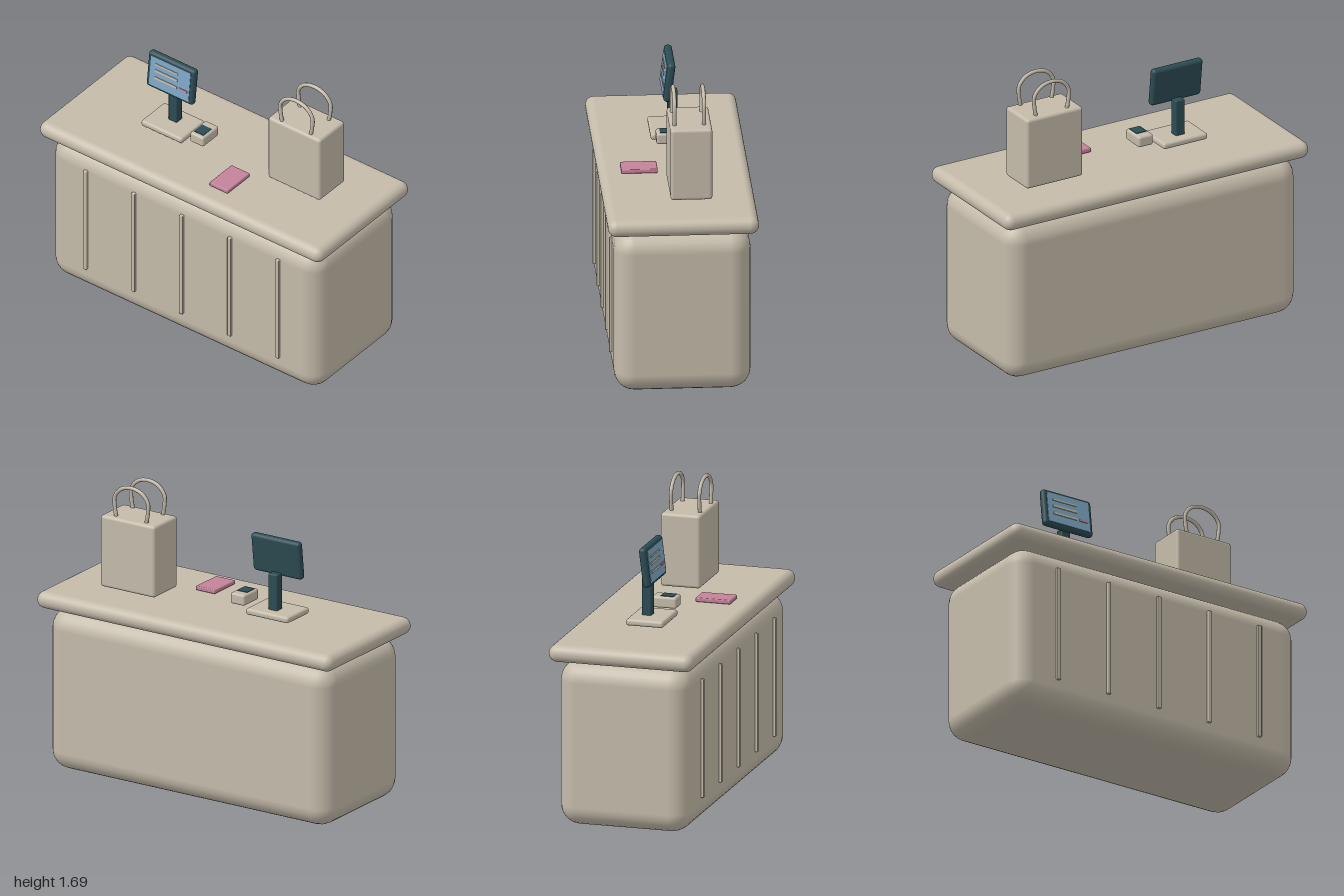
import * as THREE from 'three';
import { RoundedBoxGeometry } from 'three/addons/geometries/RoundedBoxGeometry.js';

const material = (name, color) => {
  const m = new THREE.MeshStandardMaterial({ color });
  m.name = name;
  return m;
};

export function createModel() {
  const stone = material('warm stone', 0xc4bbaa);
  const teal = material('dark teal', 0x2c4c54);
  const blue = material('screen blue', 0x7ca6c4);
  const pink = material('dusty pink', 0xc4829a);

  const model = new THREE.Group();
  model.name = 'shopCounter';

  // Adds a box (rounded when r > 0) of the given size, centred at pos
  const box = (parent, name, mat, size, pos, r = 0, segments = 3) => {
    const geometry = r > 0
      ? new RoundedBoxGeometry(...size, segments, r)
      : new THREE.BoxGeometry(...size);
    const mesh = new THREE.Mesh(geometry, mat);
    mesh.name = name;
    mesh.position.set(...pos);
    parent.add(mesh);
    return mesh;
  };
  const group = (name, x, y, z) => {
    const g = new THREE.Group();
    g.name = name;
    g.position.set(x, y, z);
    model.add(g);
    return g;
  };

  // Counter: soft body, overhanging top and five front ribs
  box(model, 'counterBody', stone, [1.91, 0.955, 0.77], [0, 0.4825, 0], 0.115);
  box(model, 'counterTop', stone, [2, 0.1, 0.85], [0, 1.015, 0], 0.0495, 4);
  for (let i = -2; i <= 2; i++) {
    box(model, 'frontRib', stone, [0.024, 0.69, 0.03], [i * 0.34, 0.51, 0.386], 0.005, 2);
  }

  // Till: foot plate, stem and a display leaning back
  const till = group('till', -0.365, 0, 0);
  box(till, 'tillBase', stone, [0.29, 0.038, 0.22], [0, 1.098, -0.005], 0.015);
  box(till, 'tillStem', teal, [0.06, 0.22, 0.055], [0, 1.22, -0.027], 0.008, 2);
  const display = new THREE.Group();
  display.name = 'display';
  display.position.set(0, 1.425, 0);
  display.rotation.x = -0.12;
  till.add(display);
  box(display, 'displayCase', teal, [0.33, 0.23, 0.045], [0, 0, 0], 0.02);
  box(display, 'displayScreen', blue, [0.28, 0.188, 0.006], [0, 0, 0.022]);
  for (const [y, h] of [[0.052, 0.01], [0.011, 0.014], [-0.036, 0.014]]) {
    box(display, 'screenLine', stone, [0.16, h, 0.006], [-0.025, y, 0.026]);
  }
  box(display, 'screenButton', pink, [0.055, 0.014, 0.006], [0.098, -0.036, 0.026]);

  // Card reader with a small dark screen
  const reader = group('cardReader', -0.133, 1.137, 0.008);
  box(reader, 'readerBody', stone, [0.097, 0.066, 0.147], [0, 0, 0], 0.014);
  box(reader, 'readerScreen', teal, [0.066, 0.006, 0.075], [0, 0.033, 0.014]);

  // Notebook
  box(model, 'notebook', pink, [0.13, 0.025, 0.205], [0.193, 1.081, 0.2], 0.006, 2);

  // Shopping bag with two arched handles
  const bag = group('shoppingBag', 0.535, 0, -0.062);
  box(bag, 'bagBody', stone, [0.37, 0.425, 0.235], [0, 1.2925, 0], 0.018);
  const arch = new THREE.CatmullRomCurve3(
    [[-0.1, 1.49], [-0.112, 1.56], [-0.112, 1.62], [-0.07, 1.67], [0, 1.688],
      [0.07, 1.67], [0.112, 1.62], [0.112, 1.56], [0.1, 1.49]]
      .map(([x, y]) => new THREE.Vector3(x, y, 0)));
  const handleGeometry = new THREE.TubeGeometry(arch, 32, 0.0115, 8);
  for (const z of [-0.075, 0.091]) {
    const handle = new THREE.Mesh(handleGeometry, stone);
    handle.name = 'bagHandle';
    handle.position.z = z;
    bag.add(handle);
  }

  return model;
}
